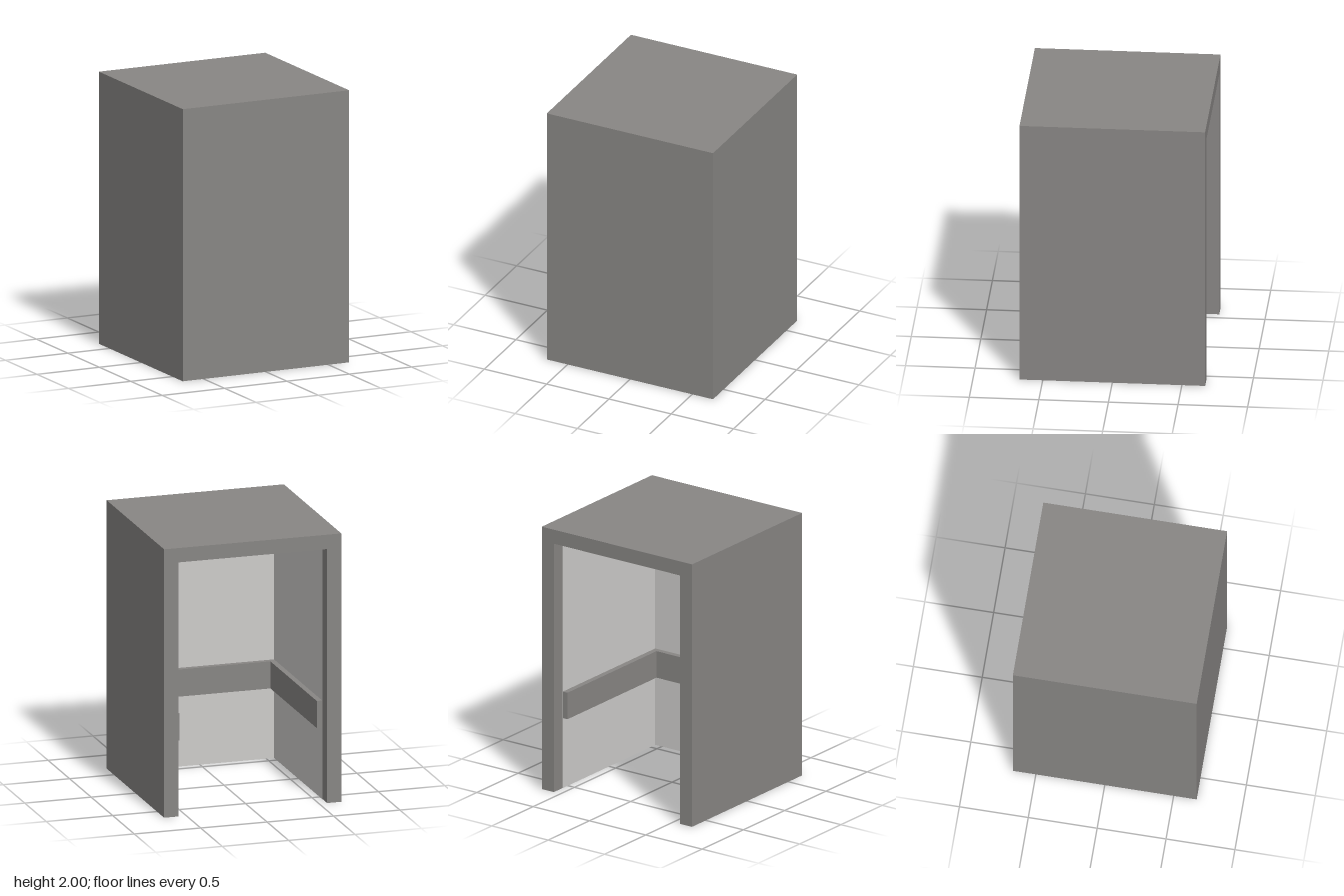
import * as THREE from 'three';

const HALF = 0.667;      // half of the square footprint
const WALL = 0.107;      // wall thickness
const INNER = HALF - WALL;
const HEIGHT = 2;
const CEILING = 1.99;

// U-shaped band, open towards -z, raised from y0 to y1.
// outer/inner are half widths; the arms end at z = -end.
function uBand(outer, inner, end, y0, y1) {
  const pts = [
    [-outer, end], [-outer, -outer], [outer, -outer], [outer, end],
    [inner, end], [inner, -inner], [-inner, -inner], [-inner, end],
  ].map(([x, y]) => new THREE.Vector2(x, y));
  const geo = new THREE.ExtrudeGeometry(new THREE.Shape(pts), { depth: y1 - y0, bevelEnabled: false });
  geo.rotateX(-Math.PI / 2);
  geo.translate(0, y0, 0);
  return geo;
}

export function createModel() {
  const gray = new THREE.MeshStandardMaterial({ color: 0x888684 });
  gray.name = 'shellGray';
  const light = new THREE.MeshStandardMaterial({ color: 0xcdccca });
  light.name = 'panelLightGray';

  const group = new THREE.Group();
  group.name = 'openBooth';
  const add = (name, geo, mat) => {
    const mesh = new THREE.Mesh(geo, mat);
    mesh.name = name;
    group.add(mesh);
    return mesh;
  };

  // Three solid walls, open at the back and without a floor
  add('walls', uBand(HALF, INNER, HALF, 0, CEILING), gray);

  // Thin roof over everything
  add('roof', new THREE.BoxGeometry(HALF * 2, HEIGHT - CEILING, HALF * 2), gray)
    .position.y = (HEIGHT + CEILING) / 2;

  // Lintel above the doorway
  add('lintel', new THREE.BoxGeometry(INNER * 2, CEILING - (HEIGHT - WALL), WALL), gray)
    .position.set(0, (CEILING + HEIGHT - WALL) / 2, -HALF + WALL / 2);

  // Light lining on the inside of the walls, between doorway and lintel height
  add('wallLining', uBand(INNER, INNER - 0.002, INNER, 0, HEIGHT - WALL), light);

  // Flat handrail around the three inner walls
  add('handrail', uBand(INNER - 0.002, INNER - 0.043, INNER, 0.533, 0.735), gray);

  return group;
}
